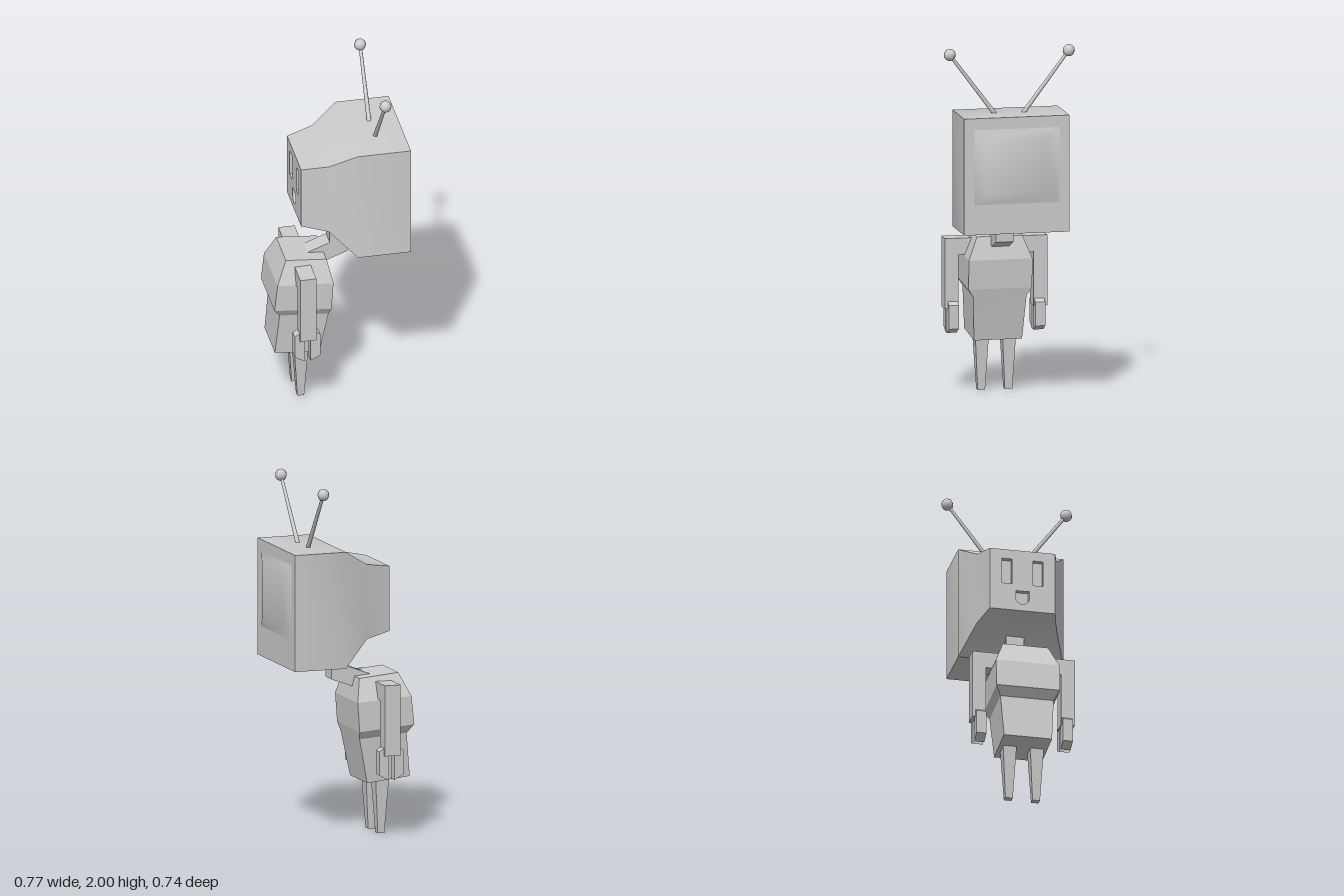
import * as THREE from 'three';
import { toCreasedNormals } from 'three/addons/utils/BufferGeometryUtils.js';

const grey = new THREE.MeshStandardMaterial({ color: 0xcccccc });

function add(parent, name, geometry) {
  const mesh = new THREE.Mesh(geometry, grey);
  mesh.name = name;
  parent.add(mesh);
  return mesh;
}

// Skin four-cornered rings; corners run counter-clockwise about the travel direction.
function loft(rings, { start = true, end = true, crease = 0.1 } = {}) {
  const index = [];
  for (let i = 0; i < rings.length - 1; i++) {
    for (let j = 0; j < 4; j++) {
      const a = i * 4 + j, b = i * 4 + (j + 1) % 4;
      index.push(a, b, b + 4, a, b + 4, a + 4);
    }
  }
  const e = (rings.length - 1) * 4;
  if (start) index.push(0, 2, 1, 0, 3, 2);
  if (end) index.push(e, e + 1, e + 2, e, e + 2, e + 3);
  const g = new THREE.BufferGeometry();
  g.setAttribute('position', new THREE.Float32BufferAttribute(rings.flat(2), 3));
  g.setIndex(index);
  return toCreasedNormals(g, crease);
}

// Upright ring: back and front edges may sit at different heights.
const ringY = (x0, y0, x1, y1, h, z = 0) =>
  [[x0, y0, z + h], [x1, y1, z + h], [x1, y1, z - h], [x0, y0, z - h]];
// Ring facing along x.
const ringX = (x, y0, y1, h) => [[x, y1, -h], [x, y1, h], [x, y0, h], [x, y0, -h]];

const polygon = (pts) => new THREE.Shape(pts.map(([x, y]) => new THREE.Vector2(x, y)));

// Flat outline in x and y given thickness along z.
function slab(pts, width, z = 0) {
  const g = new THREE.ExtrudeGeometry(polygon(pts), { depth: width, bevelEnabled: false });
  return g.translate(0, 0, z - width / 2);
}

function buildHead() {
  const head = new THREE.Group();
  head.name = 'head';
  add(head, 'headShell', loft([
    ringX(-0.238, 1.15, 1.515, 0.185),
    ringX(-0.09, 1.12, 1.54, 0.226),
    ringX(0.06, 0.975, 1.63, 0.298),
    ringX(0.36, 0.975, 1.63, 0.298),
  ], { start: false, crease: 0.62 }));

  // Bulging screen
  add(head, 'screen', loft([
    ringX(0.36, 1.143, 1.565, 0.241),
    ringX(0.382, 1.2, 1.51, 0.17),
  ], { start: false, crease: 0.62 }));

  // Back plate with two slots and a half-round hole, drawn in z and y
  const plate = polygon([[-0.185, 1.15], [0.185, 1.15], [0.185, 1.515], [-0.185, 1.515]]);
  for (const z of [-0.088, 0.088]) {
    plate.holes.push(polygon([[z - 0.029, 1.31], [z - 0.029, 1.46], [z + 0.029, 1.46], [z + 0.029, 1.31]]));
  }
  const hole = new THREE.Path();
  hole.moveTo(-0.038, 1.27).lineTo(0.038, 1.27).lineTo(0.038, 1.228);
  hole.absarc(0, 1.228, 0.038, 0, -Math.PI, true);
  hole.closePath();
  plate.holes.push(hole);
  const plateGeo = new THREE.ExtrudeGeometry(plate, { depth: 0.03, bevelEnabled: false, curveSegments: 8 });
  const backPlate = add(head, 'backPlate', plateGeo);
  backPlate.rotation.y = -Math.PI / 2;
  backPlate.position.x = -0.208;
  const floor = add(head, 'socketFloor', new THREE.PlaneGeometry(0.36, 0.36));
  floor.rotation.y = -Math.PI / 2;
  floor.position.set(-0.209, 1.3325, 0);
  return head;
}

function buildAntenna(side) {
  const antenna = new THREE.Group();
  antenna.name = side > 0 ? 'antennaPositiveZ' : 'antennaNegativeZ';
  const from = new THREE.Vector3(0.201, 1.61, side * 0.07);
  const to = new THREE.Vector3(0.205, 1.966, side * 0.337);
  const dir = to.clone().sub(from);
  const rod = add(antenna, 'antennaRod', new THREE.CylinderGeometry(0.009, 0.013, dir.length(), 8));
  rod.position.copy(from).addScaledVector(dir, 0.5);
  rod.quaternion.setFromUnitVectors(new THREE.Vector3(0, 1, 0), dir.normalize());
  add(antenna, 'antennaBall', new THREE.SphereGeometry(0.034, 8, 8)).position.copy(to);
  return antenna;
}

function buildLimbs(side) {
  const limbs = new THREE.Group();
  limbs.name = side > 0 ? 'limbsPositiveZ' : 'limbsNegativeZ';

  // Arm with shoulder block
  add(limbs, 'shoulder', new THREE.BoxGeometry(0.092, 0.093, 0.1)).position.set(-0.219, 0.8165, side * 0.165);
  add(limbs, 'arm', new THREE.BoxGeometry(0.092, 0.397, 0.077)).position.set(-0.219, 0.6645, side * 0.2515);

  // Two-pronged hand
  for (const s of [-1, 1]) {
    const pts = [[0.073, 0.49], [0.046, 0.508], [0.016, 0.466], [0.016, 0.327], [0.073, 0.357]];
    add(limbs, 'claw', slab(pts.map(([x, y]) => [-0.219 + s * x, y]), 0.056, side * 0.245));
  }

  // Tapered leg
  add(limbs, 'leg', loft([
    ringY(-0.24, 0, -0.202, 0, 0.021, side * 0.077),
    ringY(-0.262, 0.32, -0.182, 0.32, 0.039, side * 0.077),
  ]));
  return limbs;
}

export function createModel() {
  const model = new THREE.Group();
  model.name = 'screenHeadedRobot';
  const figure = new THREE.Group();
  figure.name = 'figure';
  figure.position.z = -0.009;
  model.add(figure);

  figure.add(buildHead());

  // Bent neck from torso to head
  add(figure, 'neck', slab([
    [-0.047, 1.2], [-0.047, 0.94], [-0.22, 0.873], [-0.22, 0.77], [0.053, 0.873], [0.053, 1.2],
  ], 0.1));

  // Leaning torso, bottom to top
  add(figure, 'torso', loft([
    ringY(-0.376, 0.318, -0.125, 0.293, 0.136),
    ringY(-0.352, 0.565, -0.075, 0.545, 0.151),
    ringY(-0.387, 0.615, -0.065, 0.59, 0.18),
    ringY(-0.37, 0.775, -0.053, 0.755, 0.18),
    ringY(-0.312, 0.903, -0.082, 0.883, 0.128),
  ]));

  for (const side of [1, -1]) {
    figure.add(buildLimbs(side));
    model.add(buildAntenna(side));
  }
  return model;
}
